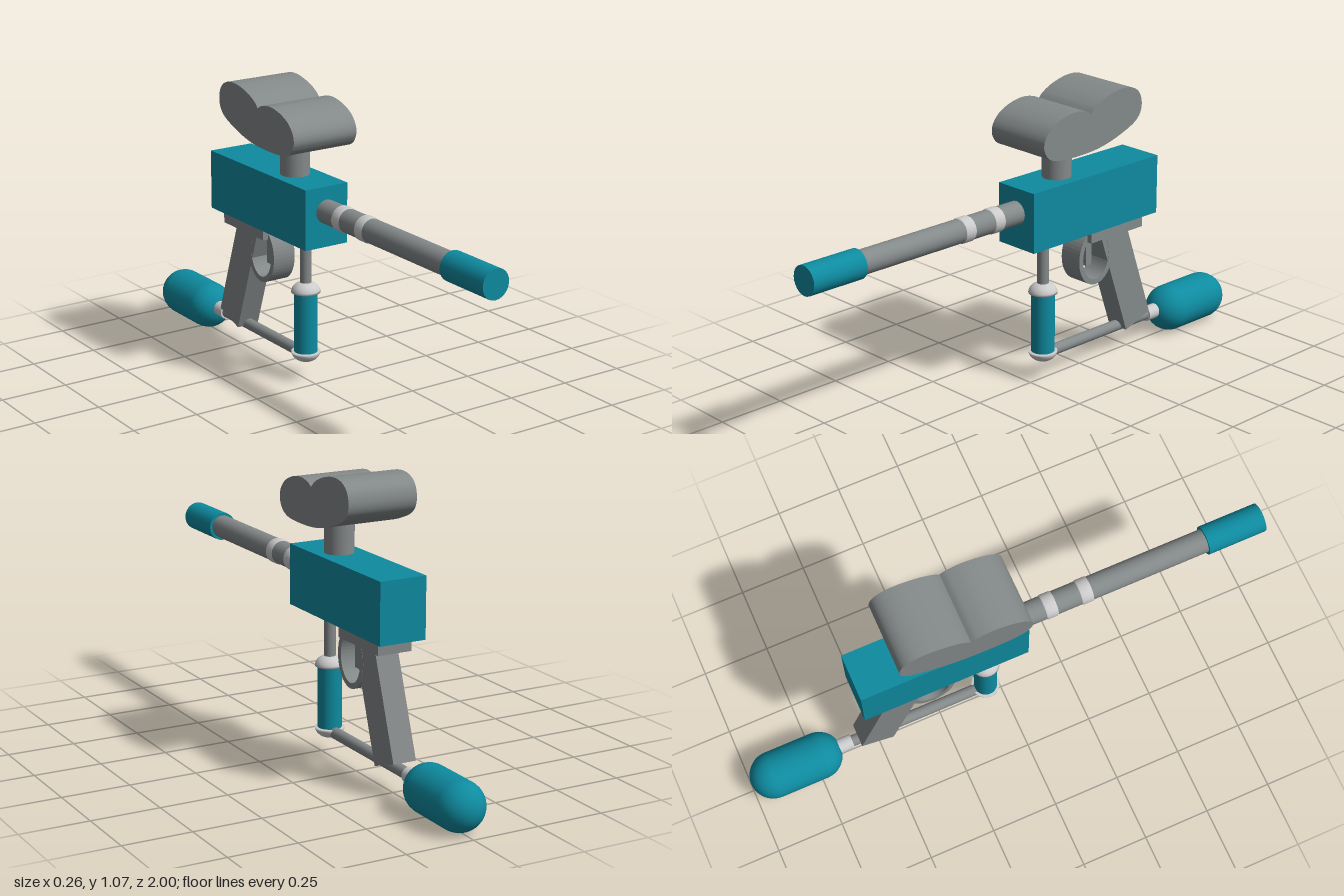
import * as THREE from 'three';

export function createModel() {
  const root = new THREE.Group();
  const grey = new THREE.MeshStandardMaterial({ color: 0xcccccc });
  const greyDark = new THREE.MeshStandardMaterial({ color: 0x84898a });
  const teal = new THREE.MeshStandardMaterial({ color: 0x0e8ba0 });

  const add = (name, geo, mat, x = 0, y = 0, z = 0) => {
    const mesh = new THREE.Mesh(geo, mat);
    mesh.name = name;
    mesh.position.set(x, y, z);
    root.add(mesh);
    return mesh;
  };
  const box = (name, mat, w, y0, y1, z0, z1) =>
    add(name, new THREE.BoxGeometry(w, y1 - y0, z1 - z0), mat, 0, (y0 + y1) / 2, (z0 + z1) / 2);
  const pipeY = (name, mat, r, y0, y1, z) =>
    add(name, new THREE.CylinderGeometry(r, r, y1 - y0, 24), mat, 0, (y0 + y1) / 2, z);
  const pipeZ = (name, mat, r, z0, z1, y) =>
    add(name, new THREE.CylinderGeometry(r, r, z1 - z0, 24).rotateX(Math.PI / 2), mat, 0, y, (z0 + z1) / 2);
  // Side outline in (z, y), given thickness across x
  const slab = (name, mat, shape, width) => {
    const geo = new THREE.ExtrudeGeometry(shape, { depth: width, bevelEnabled: false, curveSegments: 24 });
    geo.translate(0, 0, -width / 2).rotateY(-Math.PI / 2);
    return add(name, geo, mat);
  };
  const v = (list) => list.map(([a, b]) => new THREE.Vector2(a, b));

  // Receiver and barrel
  box('body', teal, 0.176, 0.54, 0.76, -0.555, 0.068);
  pipeZ('barrel', greyDark, 0.043, 0.05, 0.79, 0.67);
  pipeZ('barrelTip', teal, 0.053, 0.78, 1.0, 0.67);
  for (const z of [0.18, 0.315]) {
    const profile = v([[0.04, -0.026], [0.046, -0.018], [0.046, 0.018], [0.04, 0.026]]);
    add('barrelRing', new THREE.LatheGeometry(profile, 24).rotateX(Math.PI / 2), grey, 0, 0.67, z);
  }

  // Two-lobed hopper on its neck
  pipeY('hopperNeck', greyDark, 0.053, 0.75, 0.9, -0.128);
  const hopper = new THREE.Shape();
  hopper.moveTo(-0.165, 1.008);
  hopper.splineThru(v([[-0.19, 1.03], [-0.24, 1.053], [-0.31, 1.068], [-0.37, 1.062], [-0.408, 1.035],
    [-0.42, 0.99], [-0.405, 0.95], [-0.36, 0.92], [-0.26, 0.886], [-0.16, 0.87], [-0.03, 0.87],
    [0.03, 0.885], [0.056, 0.915], [0.06, 0.945], [0.046, 0.975], [0.015, 1.002], [-0.035, 1.022],
    [-0.09, 1.03], [-0.14, 1.022], [-0.165, 1.008]]));
  slab('hopper', greyDark, hopper, 0.262);

  // Trigger frame, guard, trigger and raked grip
  box('triggerFrame', greyDark, 0.13, 0.492, 0.542, -0.505, -0.24);
  const guard = new THREE.Shape().absellipse(-0.286, 0.425, 0.086, 0.107, 0, Math.PI * 2);
  guard.holes.push(new THREE.Path().absellipse(-0.286, 0.425, 0.066, 0.087, 0, Math.PI * 2, true));
  slab('triggerGuard', greyDark, guard, 0.09);
  box('trigger', greyDark, 0.03, 0.385, 0.5, -0.292, -0.265);
  slab('grip', greyDark, new THREE.Shape(v([[-0.31, 0.5], [-0.452, 0.088], [-0.575, 0.13], [-0.446, 0.5]])), 0.088);

  // Foregrip hanging under the body, capped with domes
  pipeY('foregripPost', greyDark, 0.021, 0.33, 0.55, -0.062);
  pipeY('foregrip', teal, 0.043, 0.1, 0.34, -0.062);
  for (const [name, y, turn] of [['foregripTopCap', 0.336, 0], ['foregripBottomCap', 0.11, Math.PI]]) {
    const profile = [new THREE.Vector2(0.001, 0)];
    for (let i = 0; i <= 8; i++) {
      const a = (i / 8) * Math.PI / 2;
      profile.push(new THREE.Vector2(0.053 * Math.cos(a), 0.04 * Math.sin(a)));
    }
    add(name, new THREE.LatheGeometry(profile, 24).rotateX(turn), grey, 0, y, -0.062);
  }

  // Air line and tank
  pipeZ('airLine', greyDark, 0.021, -0.61, -0.06, 0.096);
  pipeZ('tankNeck', grey, 0.028, -0.67, -0.6, 0.096);
  add('airTank', new THREE.CapsuleGeometry(0.088, 0.179, 10, 28).rotateX(Math.PI / 2), teal, 0, 0.088, -0.8225 - 0.0);
  root.getObjectByName('airTank').position.z = -0.8225;
  return root;
}
